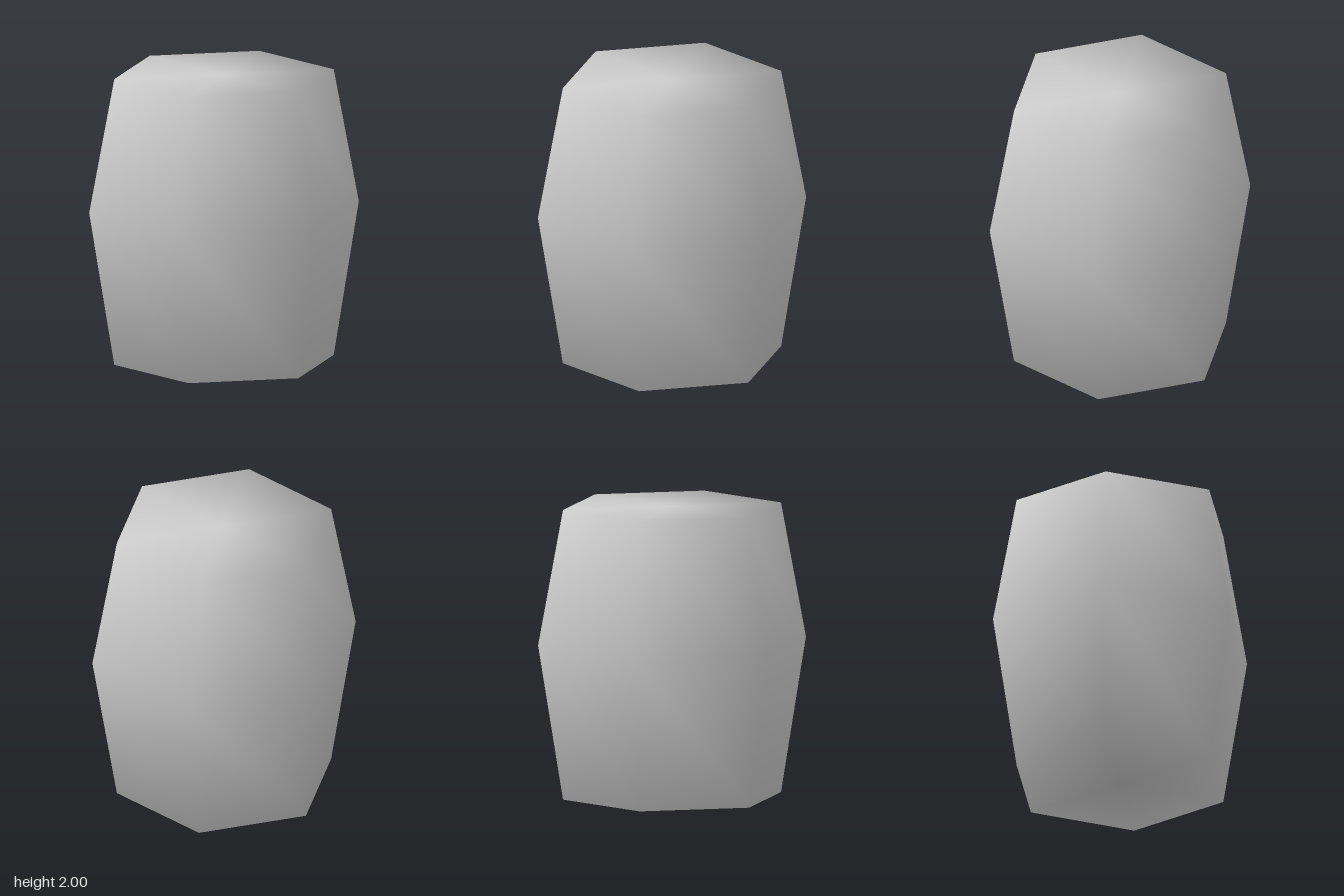
import * as THREE from 'three';
import { mergeVertices } from 'three/addons/utils/BufferGeometryUtils.js';

export function createModel() {
  const group = new THREE.Group();
  group.name = 'hexagonalBarrel';

  const grey = new THREE.MeshStandardMaterial({ color: 0xcccccc });
  grey.name = 'light grey';

  // Six-sided closed barrel: flat caps, widest just above the middle
  const profile = [[0, 0], [0.765, 0], [0.94, 1.07], [0.765, 2], [0, 2]]
    .map(([r, y]) => new THREE.Vector2(r, y));
  const lathe = new THREE.LatheGeometry(profile, 6, Math.PI / 2);

  // Weld every corner so the shading runs smoothly over sides and caps
  lathe.deleteAttribute('normal');
  lathe.deleteAttribute('uv');
  const geometry = mergeVertices(lathe, 1e-4);
  geometry.computeVertexNormals();

  const body = new THREE.Mesh(geometry, grey);
  body.name = 'barrelBody';
  group.add(body);
  return group;
}
